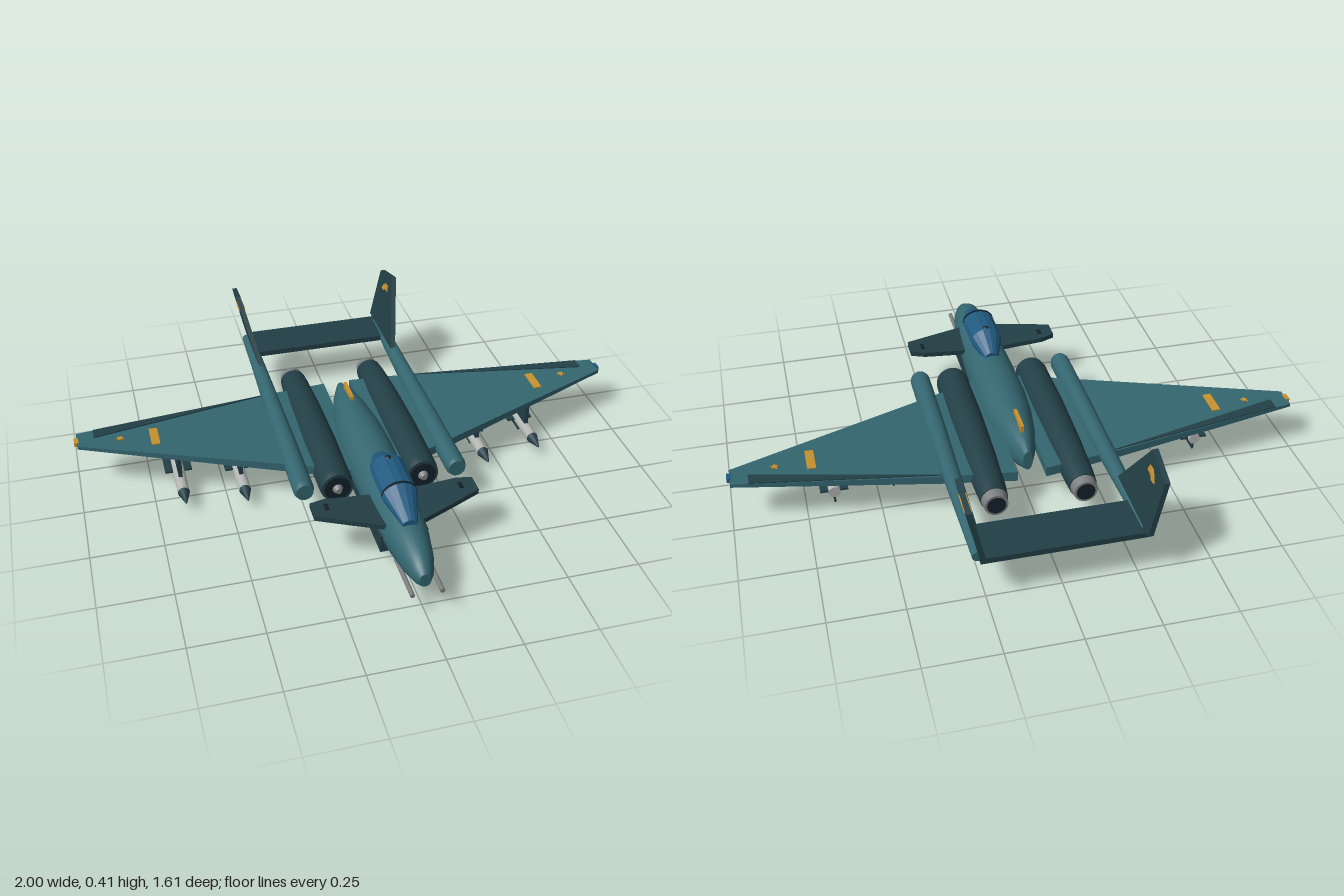
import * as THREE from 'three';

const mat = (name, color) => Object.assign(new THREE.MeshStandardMaterial({ color }), { name });

export function createModel() {
  const root = new THREE.Group();
  root.name = 'fighterAircraft';
  const teal = mat('teal', 0x346670), dark = mat('darkTeal', 0x223f46), blue = mat('canopyBlue', 0x215a80);
  const gold = mat('gold', 0xc8922e), grey = mat('metalGrey', 0x7c7f80), white = mat('paleGrey', 0xb4b6b4);
  const black = mat('nearBlack', 0x15212a);

  const add = (name, geo, material, x = 0, y = 0, z = 0, parent = root) => {
    const m = new THREE.Mesh(geo, material);
    m.name = name;
    m.position.set(x, y, z);
    parent.add(m);
    return m;
  };
  const box = (w, h, d) => new THREE.BoxGeometry(w, h, d);
  const tubeZ = (rFront, rBack, len, n = 20) => new THREE.CylinderGeometry(rFront, rBack, len, n).rotateX(Math.PI / 2);

  // Body from elliptical sections, front to back: [z, centreY, halfWidth, upHeight, downHeight]
  function loft(sections, sides = 24, flat = false) {
    const pos = [], idx = [];
    const ring = ([z, cy, rx, up, down]) => {
      for (let j = 0; j < sides; j++) {
        const a = (j / sides) * Math.PI * 2, s = Math.sin(a);
        pos.push(Math.cos(a) * rx, cy + s * (s > 0 ? up : down), z);
      }
    };
    sections.forEach(ring);
    for (let i = 0; i < sections.length - 1; i++) for (let j = 0; j < sides; j++) {
      const a = i * sides + j, b = i * sides + (j + 1) % sides, c = b + sides, d = a + sides;
      idx.push(a, d, b, b, d, c);
    }
    [sections[0], sections[sections.length - 1]].forEach((s, end) => {
      const base = pos.length / 3;
      ring(s);
      pos.push(0, s[1], s[0]);
      for (let j = 0; j < sides; j++) {
        const p = base + j, q = base + (j + 1) % sides;
        idx.push(base + sides, end ? q : p, end ? p : q);
      }
    });
    let g = new THREE.BufferGeometry();
    g.setAttribute('position', new THREE.Float32BufferAttribute(pos, 3));
    g.setIndex(idx);
    if (flat) g = g.toNonIndexed();
    g.computeVertexNormals();
    return g;
  }

  const extrude = (pts) => new THREE.ExtrudeGeometry(
    new THREE.Shape(pts.map((p) => new THREE.Vector2(p[0], p[1]))), { depth: 1, bevelEnabled: false });

  // Horizontal plate from [x, z] outline; height and thickness vary with span
  function plate(side, pts, yAt, thickAt) {
    const g = extrude(pts.map(([x, z]) => [side * x, -z])).rotateX(-Math.PI / 2);
    const p = g.attributes.position;
    for (let i = 0; i < p.count; i++) {
      const x = Math.abs(p.getX(i));
      p.setY(i, yAt(x) + (p.getY(i) - 0.5) * thickAt(x));
    }
    g.computeVertexNormals();
    return g;
  }

  // Upright plate from [z, y] outline, leaning outward with height
  function finPlate(side, pts, offset, thick) {
    const g = extrude(pts).rotateY(-Math.PI / 2);
    const p = g.attributes.position;
    for (let i = 0; i < p.count; i++) {
      p.setX(i, side * (0.265 + (p.getY(i) - 0.19) * 0.215) + offset + (p.getX(i) + 0.5) * thick);
    }
    g.computeVertexNormals();
    return g;
  }

  // Fuselage and canopy
  add('fuselage', loft([
    [0.778, 0.125, 0.02, 0.025, 0.025], [0.755, 0.128, 0.034, 0.042, 0.04], [0.7, 0.135, 0.052, 0.065, 0.06],
    [0.6, 0.14, 0.069, 0.074, 0.082], [0.5, 0.142, 0.079, 0.078, 0.09], [0.3, 0.143, 0.086, 0.09, 0.095],
    [0.1, 0.143, 0.09, 0.09, 0.098], [-0.03, 0.143, 0.083, 0.086, 0.092], [-0.15, 0.145, 0.065, 0.08, 0.082],
    [-0.24, 0.147, 0.042, 0.066, 0.062], [-0.302, 0.15, 0.017, 0.04, 0.035]]), teal);
  add('canopy', loft([
    [0.608, 0.215, 0.025, 0.016, 0.02], [0.49, 0.245, 0.06, 0.046, 0.045],
    [0.335, 0.25, 0.058, 0.048, 0.045], [0.245, 0.225, 0.026, 0.022, 0.03]], 14, true), blue);
  add('canopyFrame', loft([
    [0.488, 0.246, 0.0605, 0.048, 0.04], [0.48, 0.246, 0.0605, 0.048, 0.04]], 14, true), black);
  add('seatHeadrest', new THREE.SphereGeometry(0.014, 10, 8), black, 0, 0.288, 0.348);
  add('dorsalAerial', box(0.012, 0.045, 0.105), gold, 0, 0.218, -0.17);
  add('chinSensor', new THREE.SphereGeometry(1, 16, 10).scale(0.03, 0.024, 0.055), dark, 0, 0.066, 0.628);

  // Wing rules: slight dihedral, thinner toward the tip
  const wingY = (x) => 0.14 + (x - 0.08) * 0.035;
  const wingT = (x) => 0.036 - (x - 0.08) * 0.026;
  const wingTop = (x) => wingY(x) + wingT(x) / 2 + 0.001;
  const thin = () => 0.005;
  const star = Array.from({ length: 10 }, (_, i) => {
    const a = (i * Math.PI) / 5, r = i % 2 ? 0.007 : 0.016;
    return [0.84 + r * Math.sin(a), -0.165 + r * Math.cos(a)];
  });

  for (const s of [1, -1]) {
    const side = s > 0 ? 'left' : 'right';
    const put = (name, geo, material, x = 0, y = 0, z = 0) => add(side + name, geo, material, s * x, y, z);

    // Main wing with flap and markings
    put('Wing', plate(s, [[0.05, 0.22], [0.99, -0.15], [0.99, -0.23], [0.3, -0.332], [0.05, -0.36]], wingY, wingT), teal);
    put('Aileron', plate(s, [[0.3, -0.326], [0.93, -0.19], [0.93, -0.238]], wingTop, thin), dark);
    put('WingPanel', plate(s, [[0.705, -0.1], [0.735, -0.1], [0.735, -0.2], [0.705, -0.2]], wingTop, thin), gold);
    put('WingStar', plate(s, star, wingTop, thin), gold);
    put('TipLight', box(0.016, 0.015, 0.032), s > 0 ? blue : gold, 0.992, 0.172, -0.185);

    // Canard
    put('Canard', plate(s, [[0.05, 0.56], [0.18, 0.51], [0.28, 0.47], [0.28, 0.4], [0.23, 0.385], [0.05, 0.385]],
      (x) => 0.168 + x * 0.075, () => 0.018), dark);
    put('CanardHinge', box(0.014, 0.004, 0.03), black, 0.23, 0.1955, 0.43);

    // Side bay, engine nacelle, intake and nozzle
    put('SideBay', box(0.034, 0.065, 0.4), dark, 0.064, 0.103, 0.35);
    put('Nacelle', loft([
      [0.265, 0.135, 0.055, 0.056, 0.056], [0.24, 0.135, 0.059, 0.062, 0.062], [0, 0.137, 0.061, 0.064, 0.063],
      [-0.25, 0.137, 0.057, 0.058, 0.058], [-0.4, 0.135, 0.051, 0.051, 0.051],
      [-0.45, 0.133, 0.047, 0.047, 0.047]]), dark, 0.152);
    put('Intake', tubeZ(0.046, 0.046, 0.006), black, 0.152, 0.135, 0.265);
    put('IntakeHub', tubeZ(0.01, 0.02, 0.02), grey, 0.152, 0.135, 0.275);
    put('Nozzle', tubeZ(0.046, 0.04, 0.04), grey, 0.152, 0.132, -0.463);
    put('Exhaust', tubeZ(0.032, 0.032, 0.004), black, 0.152, 0.132, -0.483);

    // Tail boom and fin
    put('TailBoom', loft([
      [0.283, 0.152, 0.03, 0.03, 0.03], [0.265, 0.152, 0.036, 0.037, 0.037], [0, 0.153, 0.036, 0.037, 0.037],
      [-0.35, 0.162, 0.03, 0.029, 0.03], [-0.6, 0.17, 0.025, 0.021, 0.023],
      [-0.752, 0.173, 0.022, 0.017, 0.02]], 18), teal, 0.27);
    put('Fin', finPlate(s, [[-0.49, 0.18], [-0.66, 0.412], [-0.795, 0.38], [-0.802, 0.185]], 0, 0.018), dark);
    for (const o of [0.0105, -0.0105]) {
      put('FinEmblem', finPlate(s, [[-0.672, 0.347], [-0.678, 0.367], [-0.7, 0.369], [-0.718, 0.358],
        [-0.735, 0.337], [-0.712, 0.334], [-0.698, 0.346]], o, 0.004), gold);
    }

    // Nose gun
    put('GunBarrel', tubeZ(0.008, 0.008, 0.18, 12), grey, 0.049, 0.095, 0.715);

    // Missiles under the wing
    for (const [x, z] of [[0.442, 0.04], [0.652, 0]]) {
      const missile = new THREE.Group();
      missile.name = side + 'Missile';
      missile.position.set(s * x, 0.05, z);
      root.add(missile);
      add('missileBody', tubeZ(0.021, 0.021, 0.23, 16), white, 0, 0, -0.075, missile);
      add('missileNose', tubeZ(0.003, 0.021, 0.062, 16), dark, 0, 0, 0.071, missile);
      add('verticalFin', box(0.007, 0.1, 0.09), dark, 0, 0, -0.135, missile);
      add('horizontalFin', box(0.096, 0.007, 0.09), dark, 0, 0, -0.135, missile);
      add('pylon', box(0.014, 0.1, 0.13), dark, 0, 0.055, -0.09, missile);
    }
  }

  // Tailplane joining the booms
  add('tailplane', box(0.54, 0.02, 0.165), dark, 0, 0.172, -0.696);
  return root;
}
